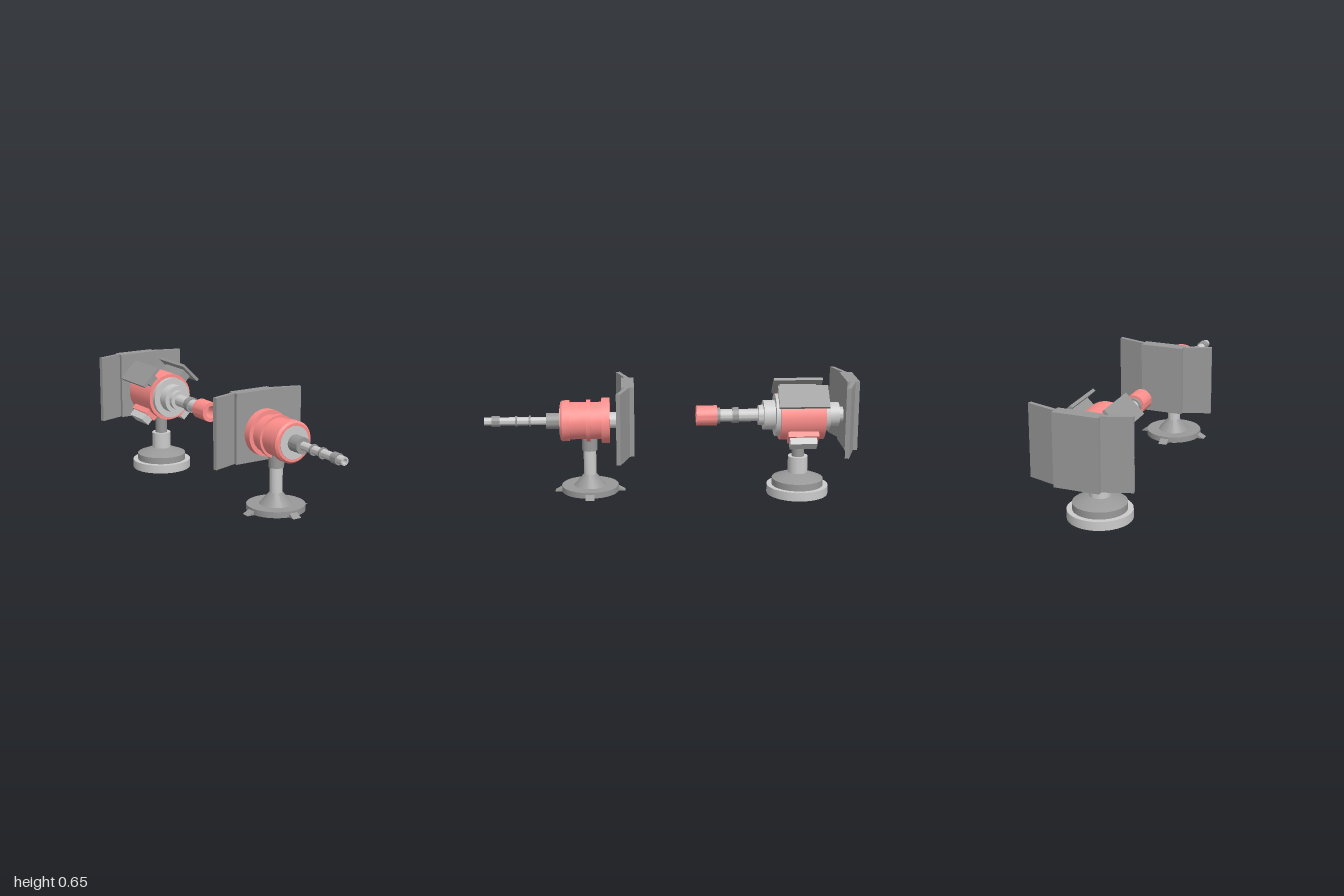
import * as THREE from 'three';
import { toCreasedNormals } from 'three/addons/utils/BufferGeometryUtils.js';

const material = (color) => new THREE.MeshStandardMaterial({ color, side: THREE.DoubleSide });
const light = material(0xcccccc);
const dark = material(0x999999);
const red = material(0xff8f8c);

function add(parent, name, geometry, mat) {
  const mesh = new THREE.Mesh(geometry, mat);
  mesh.name = name;
  parent.add(mesh);
  return mesh;
}

// Turned part from [radius, height] pairs, standing on y or lying along z
function turned(parent, name, mat, profile, axis = 'y') {
  const points = profile.map(([r, h]) => new THREE.Vector2(r, h));
  const geometry = new THREE.LatheGeometry(points, 40);
  if (axis === 'z') geometry.rotateX(Math.PI / 2);
  return add(parent, name, toCreasedNormals(geometry, 0.5), mat);
}

// Plain solid cylinder between two heights
function drum(parent, name, mat, r, a, b, axis = 'y') {
  return turned(parent, name, mat, [[0, a], [r, a], [r, b], [0, b]], axis);
}

// Prism with a plan outline of [x, z] points, from y0 up by height
function prism(parent, name, mat, outline, y0, height) {
  const shape = new THREE.Shape(outline.map(([x, z]) => new THREE.Vector2(x, -z)));
  const geometry = new THREE.ExtrudeGeometry(shape, { depth: height, bevelEnabled: false });
  geometry.rotateX(-Math.PI / 2).translate(0, y0, 0);
  return add(parent, name, geometry, mat);
}

// Three-panel shield with its wings swept forward
function shield() {
  const group = new THREE.Group();
  group.name = 'shield';
  const y = 0.254, h = 0.379;
  prism(group, 'shieldCentre', dark, [[-0.108, 0.2], [0.127, 0.2], [0.127, 0.268], [-0.108, 0.268]], y, h);
  prism(group, 'shieldWingLeft', dark, [[0.12, 0.222], [0.285, 0.274], [0.28, 0.296], [0.12, 0.246]], y, h);
  prism(group, 'shieldWingRight', dark, [[-0.1, 0.222], [-0.255, 0.274], [-0.25, 0.296], [-0.1, 0.246]], y, h);
  return group;
}

function frontTurret() {
  const turret = new THREE.Group();
  turret.name = 'frontTurret';

  // Stand
  const stand = new THREE.Group();
  stand.name = 'frontStand';
  stand.position.set(0.023, 0, 0.44);
  turret.add(stand);
  drum(stand, 'basePlate', dark, 0.154, 0.038, 0.07);
  turned(stand, 'baseCone', dark, [[0, 0.068], [0.087, 0.07], [0.034, 0.132], [0, 0.132]]);
  drum(stand, 'post', light, 0.034, 0.13, 0.27);
  drum(stand, 'postCollar', dark, 0.041, 0.266, 0.36);

  // Four wedge feet
  const wedge = new THREE.Shape([[0.14, 0.038], [0.19, 0.038], [0.15, 0.06], [0.14, 0.06]]
    .map(([x, y]) => new THREE.Vector2(x, y)));
  for (let i = 0; i < 4; i++) {
    const geometry = new THREE.ExtrudeGeometry(wedge, { depth: 0.048, bevelEnabled: false });
    geometry.translate(0, 0, -0.024);
    add(stand, 'foot', geometry, dark).rotation.y = i * Math.PI / 2;
  }

  // Body and barrel
  const gun = new THREE.Group();
  gun.name = 'frontGun';
  gun.position.set(0.023, 0.429, 0);
  turret.add(gun);
  turned(gun, 'body', red, [
    [0, 0.33], [0.123, 0.33], [0.123, 0.374], [0.1, 0.374], [0.1, 0.433], [0.113, 0.433],
    [0.113, 0.455], [0.1, 0.455], [0.1, 0.545], [0.11, 0.545], [0.11, 0.583], [0.1, 0.594], [0, 0.594],
  ], 'z');
  drum(gun, 'bodyFace', light, 0.086, 0.58, 0.597, 'z');
  drum(gun, 'shieldMount', light, 0.043, 0.25, 0.335, 'z');
  drum(gun, 'barrelCollar', dark, 0.043, 0.59, 0.67, 'z');
  turned(gun, 'barrel', light,
    [[0, 0.66], [0.022, 0.66], [0.022, 1], [0.013, 1], [0.013, 0.93], [0, 0.93]], 'z');
  for (const [a, b] of [[0.752, 0.762], [0.825, 0.835], [0.917, 0.96]]) {
    turned(gun, 'barrelRing', dark, [[0.02, a], [0.029, a], [0.029, b], [0.02, b]], 'z');
  }

  turret.add(shield());
  return turret;
}

function rearTurret() {
  const turret = new THREE.Group();
  turret.name = 'rearTurret';

  // Stand
  const stand = new THREE.Group();
  stand.name = 'rearStand';
  stand.position.set(-0.007, 0, -0.695);
  turret.add(stand);
  drum(stand, 'basePlate', light, 0.168, 0, 0.048);
  turned(stand, 'baseCone', dark, [[0, 0.046], [0.14, 0.046], [0.14, 0.085], [0.054, 0.119], [0, 0.119]]);
  drum(stand, 'lowerPost', light, 0.054, 0.115, 0.21);
  drum(stand, 'upperPost', dark, 0.034, 0.205, 0.34);

  // Body and barrel
  const gun = new THREE.Group();
  gun.name = 'rearGun';
  gun.position.set(-0.009, 0.441, 0);
  turret.add(gun);
  drum(gun, 'body', red, 0.134, -0.825, -0.585, 'z');
  turned(gun, 'frontSteps', light, [
    [0, -0.59], [0.115, -0.59], [0.115, -0.56], [0.08, -0.56], [0.08, -0.498],
    [0.055, -0.498], [0.055, -0.472], [0, -0.472],
  ], 'z');
  turned(gun, 'rearSteps', light, [
    [0, -0.945], [0.04, -0.945], [0.04, -0.908], [0.066, -0.908], [0.066, -0.855],
    [0.09, -0.855], [0.09, -0.82], [0, -0.82],
  ], 'z');
  drum(gun, 'barrel', light, 0.034, -0.48, -0.24, 'z');
  drum(gun, 'barrelBand', dark, 0.043, -0.365, -0.33, 'z');
  drum(gun, 'muzzleCollar', dark, 0.043, -0.265, -0.24, 'z');
  turned(gun, 'muzzle', red,
    [[0, -0.247], [0.055, -0.247], [0.055, -0.136], [0.034, -0.136], [0.034, -0.22], [0, -0.22]], 'z');

  // Sloping roof plates above and boxes below, on diagonal arms
  const block = (name, mat, side, slope, radius, size, z) => {
    const mesh = add(gun, name, new THREE.BoxGeometry(...size), mat);
    const d = radius * Math.SQRT1_2;
    mesh.position.set(side * d, slope * d, z);
    mesh.rotation.z = side * slope * Math.PI / 4;
  };
  for (const side of [-1, 1]) {
    block('roofPlate', dark, side, 1, 0.184, [0.016, 0.137, 0.268], -0.699);
    block('roofPlateArm', dark, side, 1, 0.15, [0.07, 0.06, 0.2], -0.7);
    block('sideBoxArm', red, side, -1, 0.13, [0.06, 0.075, 0.165], -0.705);
    block('sideBox', light, side, -1, 0.175, [0.05, 0.055, 0.145], -0.703);
  }

  const plate = shield();
  plate.position.set(-0.03, 0.012, -1.2);
  turret.add(plate);
  return turret;
}

export function createModel() {
  const model = new THREE.Group();
  model.name = 'twinTurrets';
  model.add(frontTurret(), rearTurret());
  return model;
}
